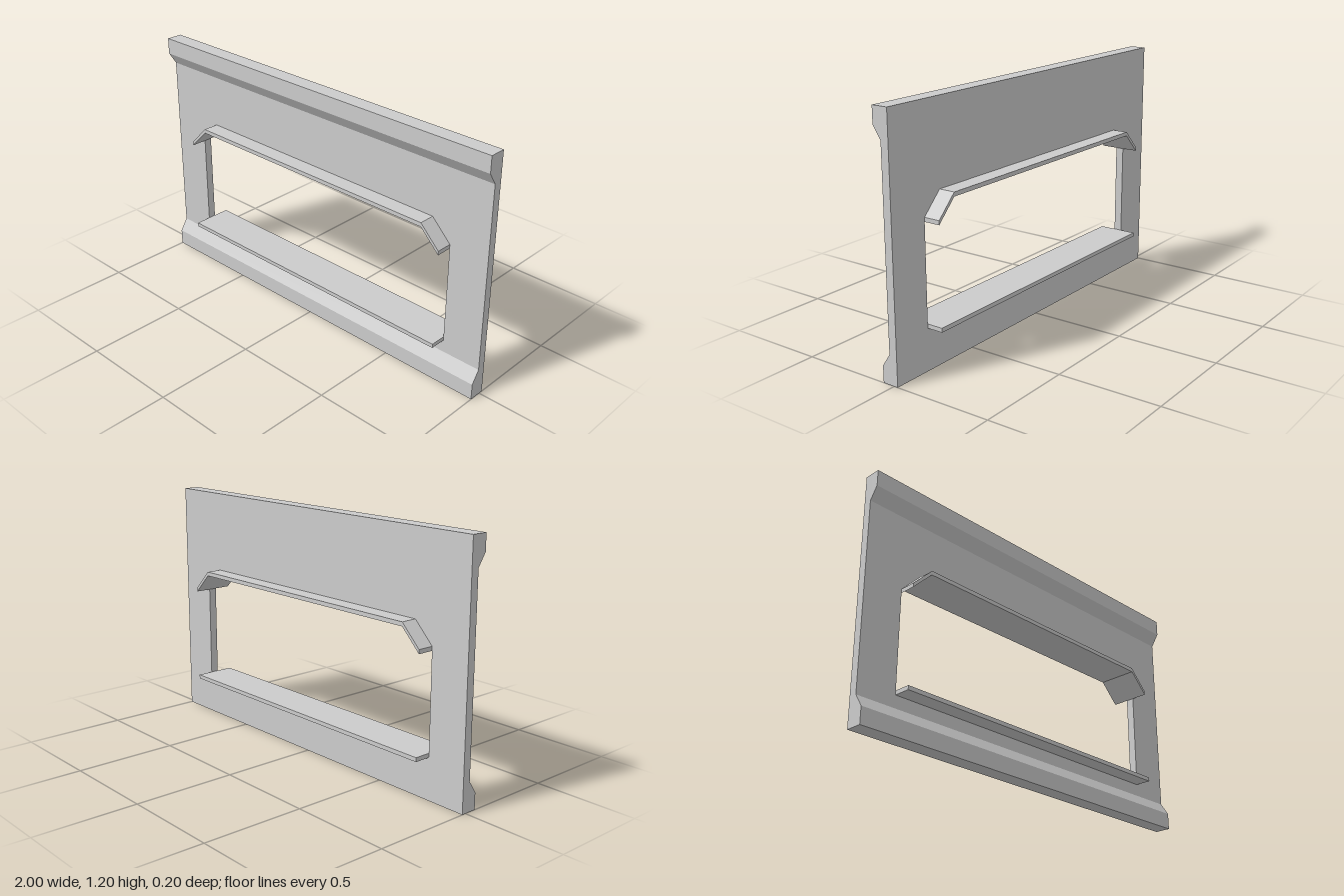
import * as THREE from 'three';

const material = new THREE.MeshStandardMaterial({ color: 0xcccccc, flatShading: true });

const toPoints = (pairs) => pairs.map(([x, y]) => new THREE.Vector2(x, y));

// Extrude a shape to the given depth, centred on its extrusion axis
function extrude(shape, depth) {
  const geometry = new THREE.ExtrudeGeometry(shape, { depth, bevelEnabled: false });
  return geometry.translate(0, 0, -depth / 2);
}

function addMesh(group, name, geometry) {
  const mesh = new THREE.Mesh(geometry, material);
  mesh.name = name;
  group.add(mesh);
}

export function createModel() {
  const group = new THREE.Group();
  group.name = 'windowWallPanel';

  // Wall with a window opening whose upper corners are cut off
  const wall = new THREE.Shape(toPoints([[-1, 0], [1, 0], [1, 1.2], [-1, 1.2]]));
  wall.holes.push(new THREE.Path(toPoints([
    [-0.8, 0.2], [-0.8, 0.7], [-0.7, 0.8], [0.7, 0.8], [0.8, 0.7], [0.8, 0.2],
  ])));
  addMesh(group, 'wall', extrude(wall, 0.04));

  // Rails on the front: a (z, y) profile swept along x, mirrored for the top
  const profile = [[0.02, 0], [0.06, 0], [0.06, 0.08], [0.02, 0.14]];
  const addRail = (name, points) =>
    addMesh(group, name, extrude(new THREE.Shape(toPoints(points)), 2).rotateY(-Math.PI / 2));
  addRail('bottomRail', profile);
  addRail('topRail', profile.map(([z, y]) => [z, 1.2 - y]));

  // Thin hood following the top of the opening, proud on both faces
  const edge = [[-0.8, 0.7], [-0.7, 0.8], [0.7, 0.8], [0.8, 0.7]];
  const underside = edge.map(([x, y]) => [x, y - 0.02]).reverse();
  addMesh(group, 'windowHood', extrude(new THREE.Shape(toPoints([...edge, ...underside])), 0.2));

  // Sill along the bottom of the opening
  addMesh(group, 'windowSill', new THREE.BoxGeometry(1.6, 0.02, 0.2).translate(0, 0.21, 0));

  return group;
}
